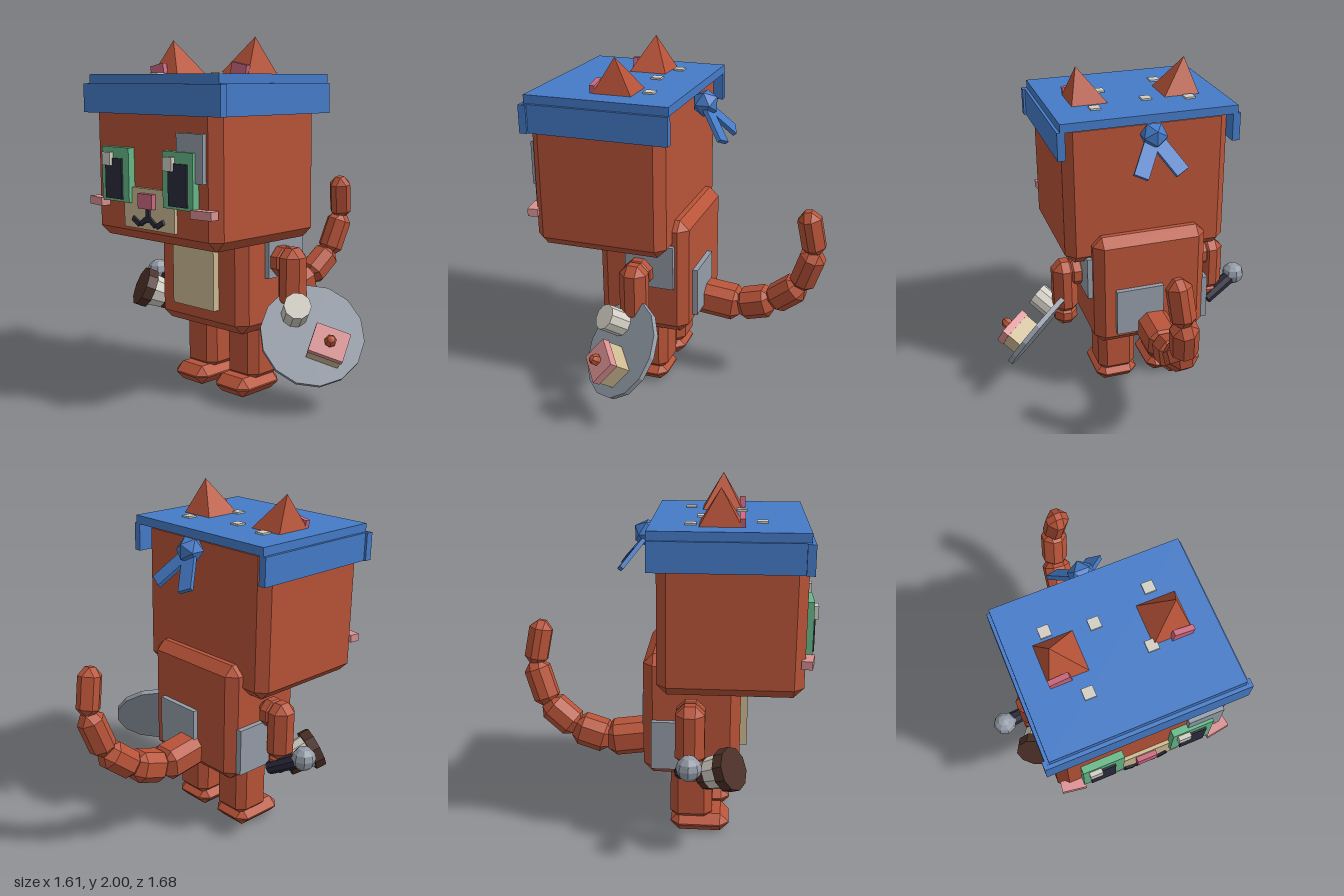
import * as THREE from 'three';
import { ConvexGeometry } from 'three/addons/geometries/ConvexGeometry.js';

const V = (x, y, z) => new THREE.Vector3(x, y, z);
const CX = -0.086; // mirror plane of the body

function material(name, color) {
  const m = new THREE.MeshStandardMaterial({ color });
  m.name = name;
  return m;
}

// box with every edge and corner cut off, centred on the origin
function chamferBox(w, h, d, c) {
  const pts = [];
  for (const x of [-w / 2, w / 2]) for (const y of [-h / 2, h / 2]) for (const z of [-d / 2, d / 2]) {
    const ix = x - Math.sign(x) * c, iy = y - Math.sign(y) * c, iz = z - Math.sign(z) * c;
    pts.push(V(x, iy, iz), V(ix, y, iz), V(ix, iy, z));
  }
  return new ConvexGeometry(pts);
}

// one normal per face
function faceted(geometry) {
  const g = geometry.index ? geometry.toNonIndexed() : geometry;
  g.computeVertexNormals();
  return g;
}

export function createModel() {
  const model = new THREE.Group();
  model.name = 'cat';
  const rust = material('rust fur', 0xb85338);
  const blue = material('blue cloth', 0x457bc8);
  const grey = material('grey', 0x949ca8);
  const white = material('off white', 0xd2cec4);
  const beige = material('beige', 0xcdb992);
  const green = material('eye green', 0x66b888);
  const dark = material('dark navy', 0x2c2b3c);
  const rose = material('rose', 0xcc6880);
  const pink = material('light pink', 0xda9092);
  const brown = material('dark brown', 0x4c3028);

  function add(name, geometry, mat, x = 0, y = 0, z = 0, parent = model) {
    const mesh = new THREE.Mesh(geometry, mat);
    mesh.name = name;
    mesh.position.set(x, y, z);
    parent.add(mesh);
    return mesh;
  }
  // box given by its limits on each axis
  function box(name, mat, x0, x1, y0, y1, z0, z1, chamfer = 0) {
    const [w, h, d] = [x1 - x0, y1 - y0, z1 - z0];
    const g = chamfer ? chamferBox(w, h, d, chamfer) : new THREE.BoxGeometry(w, h, d);
    return add(name, g, mat, (x0 + x1) / 2, (y0 + y1) / 2, (z0 + z1) / 2);
  }
  // same box on one side (s = -1 or 1) of the body's mirror plane
  function sideBox(name, mat, s, a, b, ...rest) {
    return box(name, mat, CX + Math.min(s * a, s * b), CX + Math.max(s * a, s * b), ...rest);
  }
  // place a mesh between two points with its y axis along them
  function along(mesh, a, b) {
    mesh.position.copy(a).add(b).multiplyScalar(0.5);
    mesh.quaternion.setFromUnitVectors(V(0, 1, 0), b.clone().sub(a).normalize());
    return mesh;
  }
  function rod(name, mat, a, b, r0, r1, sides) {
    return along(add(name, faceted(new THREE.CylinderGeometry(r1, r0, a.distanceTo(b), sides)), mat), a, b);
  }

  // head and body
  box('head', rust, -0.577, 0.404, 0.91, 1.79, -0.015, 0.77, 0.055);
  box('body', rust, -0.43, 0.26, 0.385, 1.09, -0.1, 0.44, 0.055);
  box('belly', beige, -0.25, 0.08, 0.51, 0.95, 0.43, 0.48);

  // sewn patches
  box('headPatch', grey, 0.14, 0.335, 1.26, 1.51, 0.76, 0.794);
  box('backPatch', grey, -0.15, 0.14, 0.47, 0.76, -0.13, -0.09);
  box('leftSidePatch', grey, 0.25, 0.29, 0.69, 0.95, -0.03, 0.26);
  box('rightSidePatch', grey, -0.46, -0.42, 0.44, 0.72, -0.05, 0.2);

  // muzzle, nose and mouth
  box('muzzle', beige, -0.29, 0.116, 0.985, 1.205, 0.76, 0.79);
  box('nose', rose, -0.143, -0.03, 1.1, 1.18, 0.77, 0.818);
  box('mouthStem', dark, CX - 0.013, CX + 0.013, 1.025, 1.1, 0.78, 0.803);
  for (const s of [-1, 1]) {
    const bar = new THREE.BoxGeometry(0.062, 0.026, 0.02);
    add('mouthInner', bar, dark, CX + s * 0.034, 1.03, 0.793).rotation.z = -s * 0.6;
    add('mouthOuter', bar, dark, CX + s * 0.096, 1.025, 0.793).rotation.z = s * 0.5;

    // eyes and cheeks
    sideBox('eye', green, s, 0.137, 0.366, 1.12, 1.415, 0.76, 0.81);
    sideBox('pupil', dark, s, 0.188, 0.327, 1.135, 1.355, 0.8, 0.82);
    const hx = s < 0 ? -0.387 : 0.112;
    box('eyeHighlight', white, hx - 0.034, hx + 0.034, 1.315, 1.387, 0.81, 0.835);
    sideBox('cheek', pink, s, 0.355, 0.487, 1.085, 1.13, 0.755, 0.815).rotation.y = s * 0.15;

    // ears leaning outwards
    const ear = new THREE.ConeGeometry(0.16, 0.21, 4).rotateY(Math.PI / 4).scale(1, 1, 1.06);
    const p = ear.attributes.position;
    for (let i = 0; i < p.count; i++) if (p.getY(i) > 0) p.setX(i, p.getX(i) + s * 0.053);
    add('ear', faceted(ear), rust, CX + s * 0.272, 1.895, 0.312);
    add('innerEar', new THREE.BoxGeometry(0.11, 0.08, 0.03), rose,
      CX + s * 0.322, 1.82, 0.425).rotation.z = -s * 0.18;

    // legs and feet
    sideBox('leg', rust, s, 0.05, 0.286, 0.075, 0.46, 0.05, 0.29, 0.045);
    sideBox('foot', rust, s, 0.036, 0.298, 0, 0.108, 0.05, 0.387, 0.05);

    // arms
    sideBox('shoulder', rust, s, 0.33, 0.475, 0.7, 0.865, 0.09, 0.25, 0.05);
    sideBox('arm', rust, s, 0.395, 0.545, 0.52, 0.865, 0.09, 0.25, 0.05);
    sideBox('hand', rust, s, 0.4, 0.54, 0.43, 0.57, 0.11, 0.26, 0.045);

    // scarf side flap
    sideBox('scarfSide', blue, s, 0.488, 0.533, 1.595, 1.757, -0.06, 0.77);
  }

  // head scarf
  box('scarfTop', blue, -0.602, 0.43, 1.755, 1.805, -0.06, 0.77);
  box('scarfFront', blue, -0.632, 0.46, 1.595, 1.755, 0.745, 0.79);
  const dots = [[-0.387, 0.156], [-0.142, 0.209], [0.182, 0.133], [0.076, 0.422], [-0.302, 0.529]];
  for (const [x, z] of dots) box('scarfDot', white, x - 0.03, x + 0.03, 1.8, 1.815, z - 0.03, z + 0.03);
  add('knot', new THREE.IcosahedronGeometry(0.08, 0), blue, CX, 1.7, -0.1);
  const ribbons = new THREE.Group();
  ribbons.name = 'ribbons';
  ribbons.position.set(CX, 1.69, -0.1);
  ribbons.rotation.x = 0.69;
  model.add(ribbons);
  for (const s of [-1, 1]) {
    const strip = new THREE.BoxGeometry(0.085, 0.25, 0.025).translate(0, -0.125, 0);
    add('ribbon', strip, blue, 0, 0, 0, ribbons).rotation.z = s * 0.5;
  }

  // tail, a chain of cut blocks
  const joints = [V(-0.085, 0.5, -0.05), V(-0.095, 0.465, -0.33), V(-0.085, 0.525, -0.53),
    V(-0.06, 0.665, -0.7), V(-0.025, 0.9, -0.78), V(0, 1.145, -0.735)];
  const widths = [0.195, 0.18, 0.165, 0.15, 0.135];
  widths.forEach((w, i) => {
    const [a, b] = [joints[i], joints[i + 1]];
    along(add('tailSegment', chamferBox(w, a.distanceTo(b) + 0.025, w, 0.047), rust), a, b);
  });

  // microphone
  rod('microphoneHandle', dark, V(-0.53, 0.46, 0.12), V(-0.73, 0.575, 0.17), 0.04, 0.045, 8);
  add('microphoneHead', faceted(new THREE.SphereGeometry(0.07, 8, 6)), grey, -0.735, 0.58, 0.175);

  // banded drum in the same hand
  const front = V(-0.625, 0.535, 0.41), axis = V(-0.42, 0.4, 0.8).normalize();
  const at = d => front.clone().addScaledVector(axis, -d);
  rod('drumFront', brown, at(0.06), at(0), 0.12, 0.12, 10);
  rod('drumBand', white, at(0.15), at(0.06), 0.09, 0.1, 10);
  rod('drumBack', brown, at(0.2), at(0.15), 0.085, 0.09, 10);

  // plate with cup and cake, tilted outwards
  const plate = new THREE.Group();
  plate.name = 'plate';
  const n = V(0.63, 0.56, 0.54).normalize();
  const ex = V(0.76, -0.32, -0.56).normalize();
  const ez = ex.clone().cross(n).normalize();
  ex.crossVectors(n, ez);
  plate.quaternion.setFromRotationMatrix(new THREE.Matrix4().makeBasis(ex, n, ez));
  plate.position.set(0.545, 0.407, 0.19);
  model.add(plate);
  const local = (x, y, z) => V(x, y, z).sub(plate.position).applyQuaternion(plate.quaternion.clone().invert());
  const disc = (r, h, sides) => faceted(new THREE.CylinderGeometry(r, r, h, sides));
  add('plateDisc', disc(0.285, 0.03, 14), grey, 0, 0, 0, plate);
  const cup = local(0.45, 0.515, 0.227);
  add('cup', disc(0.075, 0.14, 10), white, cup.x, 0.08, cup.z, plate);
  const cake = local(0.627, 0.335, 0.178);
  add('cakeSponge', new THREE.BoxGeometry(0.18, 0.1, 0.15), beige, cake.x, 0.06, cake.z, plate);
  add('cakeIcing', new THREE.BoxGeometry(0.19, 0.045, 0.16), pink, cake.x, 0.132, cake.z, plate);
  add('cherry', faceted(new THREE.SphereGeometry(0.034, 7, 5)), rust, cake.x, 0.175, cake.z, plate);

  return model;
}
